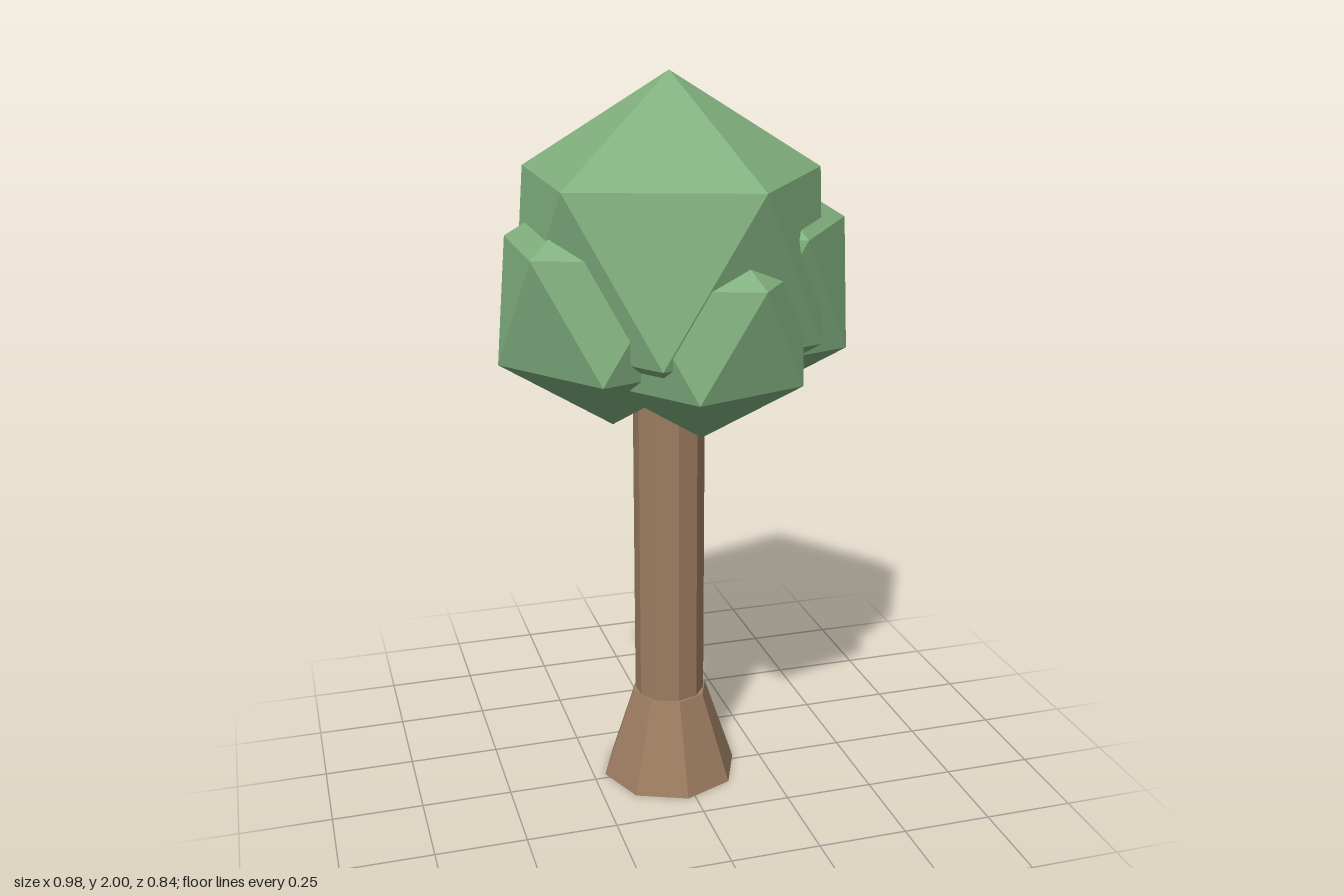
import * as THREE from 'three';
import { ConvexGeometry } from 'three/addons/geometries/ConvexGeometry.js';

// Twenty-sided clump standing on a vertex, upper ring pointing to +x
function clumpGeometry(radius) {
  const h = radius / Math.sqrt(5);
  const points = [new THREE.Vector3(0, radius, 0), new THREE.Vector3(0, -radius, 0)];
  for (let i = 0; i < 10; i++) {
    const a = (i * Math.PI) / 5;
    points.push(new THREE.Vector3(2 * h * Math.cos(a), i % 2 ? -h : h, 2 * h * Math.sin(a)));
  }
  return new ConvexGeometry(points);
}

export function createModel() {
  const tree = new THREE.Group();
  tree.name = 'tree';

  const material = (name, color) => {
    const m = new THREE.MeshStandardMaterial({ color, flatShading: true });
    m.name = name;
    return m;
  };
  const leaf = material('leaf green', 0x81b07f);
  const bark = material('bark brown', 0x9c7d61);
  const red = material('fruit red', 0xc54627);

  const add = (name, geometry, mat, x, y, z) => {
    const mesh = new THREE.Mesh(geometry, mat);
    mesh.name = name;
    mesh.position.set(x, y, z);
    tree.add(mesh);
  };

  // Trunk with a flared foot
  add('trunkBase', new THREE.CylinderGeometry(0.108, 0.195, 0.26, 8), bark, -0.022, 0.13, -0.02);
  add('trunk', new THREE.CylinderGeometry(0.098, 0.098, 1.2, 10), bark, -0.022, 0.7, -0.02);

  // Crown: one large clump with three smaller ones pushed into it
  const clumps = [
    ['crownMain', 0.47, -0.02, 1.53, -0.02],
    ['crownLeft', 0.355, 0.171, 1.437, -0.055],
    ['crownRight', 0.338, -0.19, 1.423, 0.025],
    ['crownFront', 0.304, 0.016, 1.375, 0.161],
  ];
  for (const [name, r, x, y, z] of clumps) add(name, clumpGeometry(r), leaf, x, y, z);

  // Fruit hanging at the back
  add('fruit', new THREE.SphereGeometry(0.063, 8, 5), red, -0.13, 1.21, -0.336);

  return tree;
}
